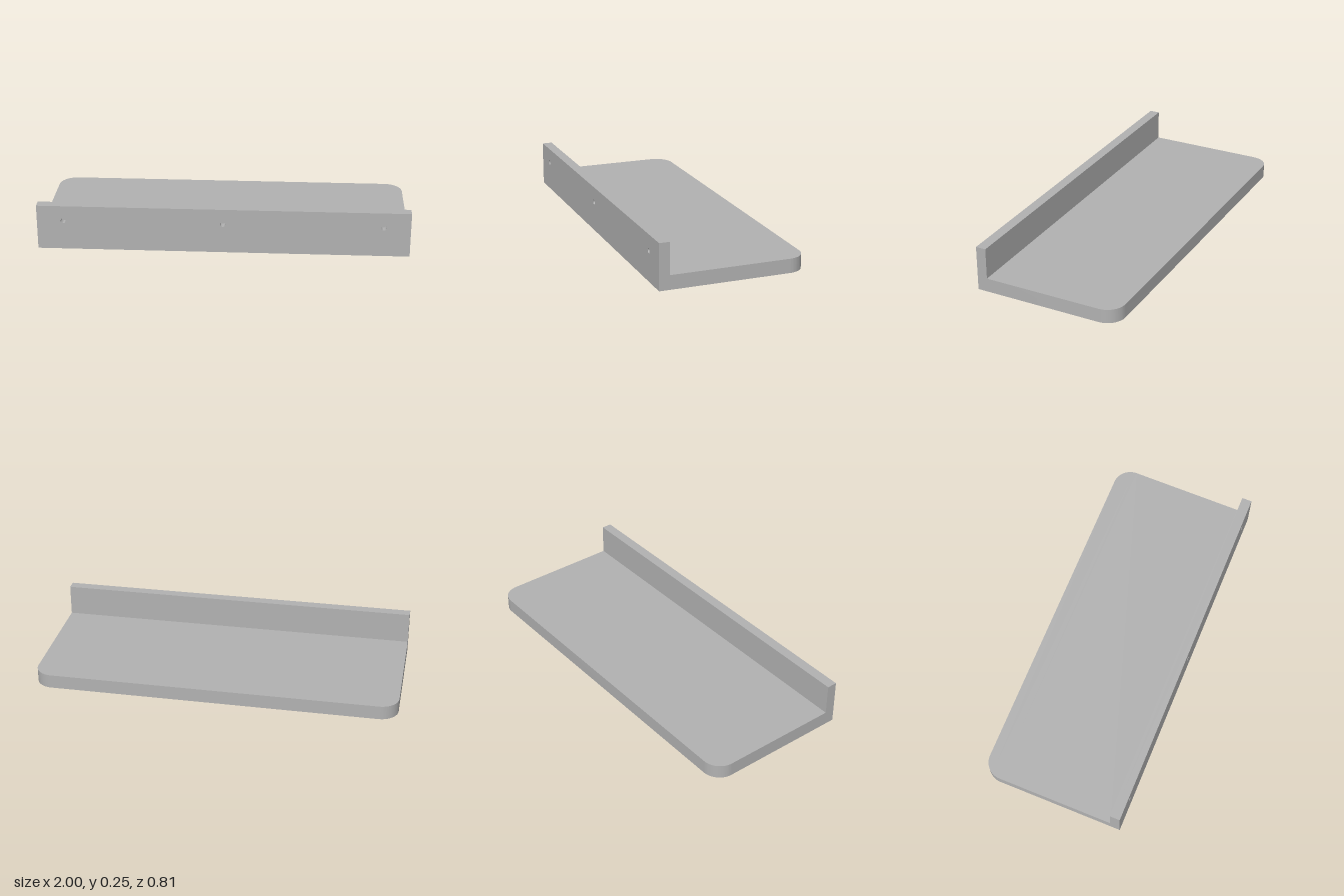
import * as THREE from 'three';
import { toCreasedNormals } from 'three/addons/utils/BufferGeometryUtils.js';

const HALF_W = 1, HALF_D = 0.404, THICK = 0.077, HEIGHT = 0.249;
const LIP_Z = 0.348;      // inner face of the upright board
const CORNER = 0.1;       // rounding of the two free corners
const HOLE_R = 0.014, HOLE_DEPTH = 0.04, HOLE_Y = 0.164;

export function createModel() {
  const group = new THREE.Group();
  const grey = new THREE.MeshStandardMaterial({ color: 0xb2b2b2 });
  grey.name = 'grey';

  const add = (name, geometry) => {
    const mesh = new THREE.Mesh(geometry, grey);
    mesh.name = name;
    group.add(mesh);
  };
  const extrude = (shape, depth) => new THREE.ExtrudeGeometry(shape, { depth, bevelEnabled: false, curveSegments: 20 });

  // Flat shelf board, rounded at the two free corners (shape y is -z)
  const board = new THREE.Shape();
  board.moveTo(-HALF_W, -LIP_Z);
  board.lineTo(HALF_W, -LIP_Z);
  board.lineTo(HALF_W, HALF_D - CORNER);
  board.absarc(HALF_W - CORNER, HALF_D - CORNER, CORNER, 0, Math.PI / 2, false);
  board.absarc(-HALF_W + CORNER, HALF_D - CORNER, CORNER, Math.PI / 2, Math.PI, false);
  board.closePath();
  add('shelfBoard', toCreasedNormals(extrude(board, THICK).rotateX(-Math.PI / 2), 0.5));

  // Outer layer of the upright board, pierced by three screw holes
  const face = new THREE.Shape();
  face.moveTo(-HALF_W, 0);
  face.lineTo(HALF_W, 0);
  face.lineTo(HALF_W, HEIGHT);
  face.lineTo(-HALF_W, HEIGHT);
  face.closePath();
  for (const x of [-0.857, 0, 0.857]) {
    const hole = new THREE.Path();
    hole.absarc(x, HOLE_Y, HOLE_R, 0, Math.PI * 2, true);
    face.holes.push(hole);
  }
  const faceZ = HALF_D - HOLE_DEPTH;
  add('uprightFace', toCreasedNormals(extrude(face, HOLE_DEPTH).translate(0, 0, faceZ), 0.5));

  // Inner layer of the upright board, closing the holes
  const depth = faceZ - LIP_Z;
  add('uprightBacking', new THREE.BoxGeometry(HALF_W * 2, HEIGHT, depth)
    .translate(0, HEIGHT / 2, LIP_Z + depth / 2));

  return group;
}
